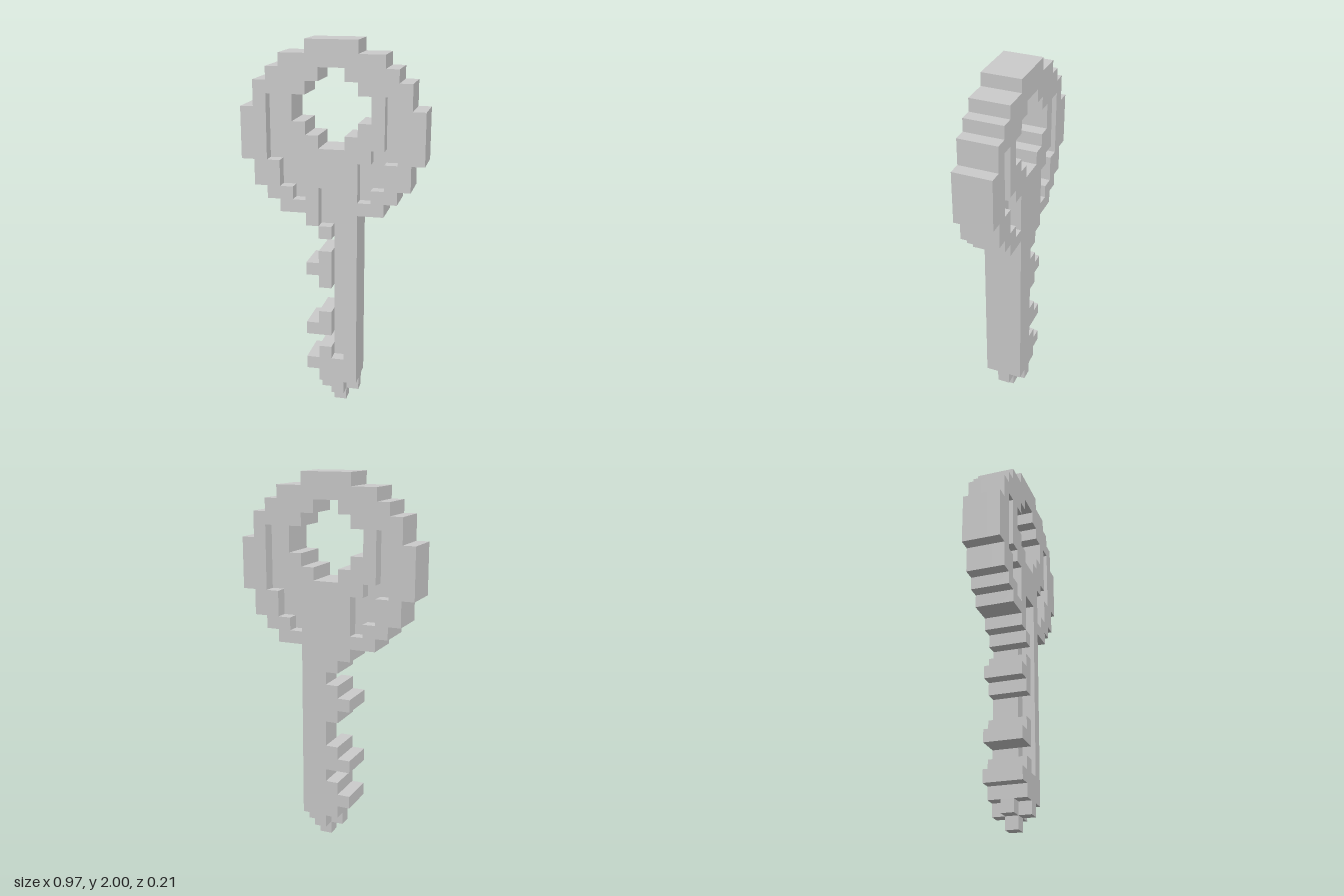
import * as THREE from 'three';

// One block of the grid; the key is 29 blocks tall and 3 deep
const U = 2 / 29;
const material = new THREE.MeshStandardMaterial({ color: 0xcccccc, flatShading: true });

// Box given by its block limits
function block(name, x0, x1, y0, y1, z0 = -1.5, z1 = 1.5) {
  const geo = new THREE.BoxGeometry((x1 - x0) * U, (y1 - y0) * U, (z1 - z0) * U);
  geo.translate((x0 + x1) / 2 * U, (y0 + y1) / 2 * U, (z0 + z1) / 2 * U);
  const mesh = new THREE.Mesh(geo, material);
  mesh.name = name;
  return mesh;
}

const points = list => list.map(([x, y]) => new THREE.Vector2(x * U, y * U));
const mirror = list => list.map(([x, y]) => [-x, y]).reverse();

// Slab one block deep, cut from an outline with holes
function slab(name, outline, holes, z0) {
  const shape = new THREE.Shape(points(outline));
  shape.holes = holes.map(h => new THREE.Path(points(h)));
  const geo = new THREE.ExtrudeGeometry(shape, { depth: U, bevelEnabled: false });
  geo.translate(0, 0, z0 * U);
  const mesh = new THREE.Mesh(geo, material);
  mesh.name = name;
  return mesh;
}

export function createModel() {
  const key = new THREE.Group();
  key.name = 'key';

  // Stepped bow: right half from bottom to top, mirrored for the left
  const half = [[2, 15], [2, 16], [4, 16], [4, 17], [5, 17], [5, 18], [6, 18], [6, 20], [7, 20],
    [7, 24], [6, 24], [6, 26], [5, 26], [5, 27], [4, 27], [4, 28], [2, 28], [2, 29]];
  const outline = [...half, ...mirror(half)];
  const eyeHalf = [[1, 21], [1, 22], [2, 22], [2, 23], [3, 23], [3, 25], [2, 25], [2, 26], [1, 26], [1, 27]];
  const eye = [...eyeHalf, ...mirror(eyeHalf)];
  const groove = [[2, 17], [3, 17], [3, 18], [4, 18], [4, 20], [5, 20], [5, 25], [4, 25],
    [4, 21], [3, 21], [3, 20], [2, 20]];
  const grooves = [groove, mirror(groove)];
  const shaftNotch = [[-1, 15], [-1, 18], [1, 18], [1, 15]];

  const bow = new THREE.Group();
  bow.name = 'bow';
  bow.add(
    slab('bowBack', outline, [eye, ...grooves], -1.5),
    slab('bowCore', outline, [eye], -0.5),
    slab('bowFront', [...outline, ...shaftNotch], [eye, ...grooves], 0.5)
  );
  key.add(bow);

  // Shaft with a groove along its front
  const shaft = new THREE.Group();
  shaft.name = 'shaft';
  shaft.add(
    block('shaftCore', 0, 2, 2, 15, -1.5, 0.5),
    block('shaftRidge', 1, 2, 2, 15, 0.5, 1.5),
    block('grooveEnd', 0, 1, 2, 4, 0.5, 1.5)
  );
  key.add(shaft);

  // Teeth along the right edge: x0, x1, y0, y1
  const teeth = new THREE.Group();
  teeth.name = 'teeth';
  for (const t of [[-1, 0, 14, 15], [-1, 0, 10, 13], [-2, -1, 11, 12], [-1, 0, 6, 8],
    [-2, -1, 6, 7], [-1, 0, 2, 5], [-2, -1, 3, 4]]) teeth.add(block('tooth', ...t));
  key.add(teeth);

  // Tip: a cross-shaped layer over a single block
  const tip = new THREE.Group();
  tip.name = 'tip';
  tip.add(
    block('tipCrossDeep', 0, 1, 1, 2),
    block('tipCrossLeft', 1, 2, 1, 2, -0.5, 0.5),
    block('tipCrossRight', -1, 0, 1, 2, -0.5, 0.5),
    block('tipPoint', 0, 1, 0, 1, -0.5, 0.5)
  );
  key.add(tip);

  return key;
}
